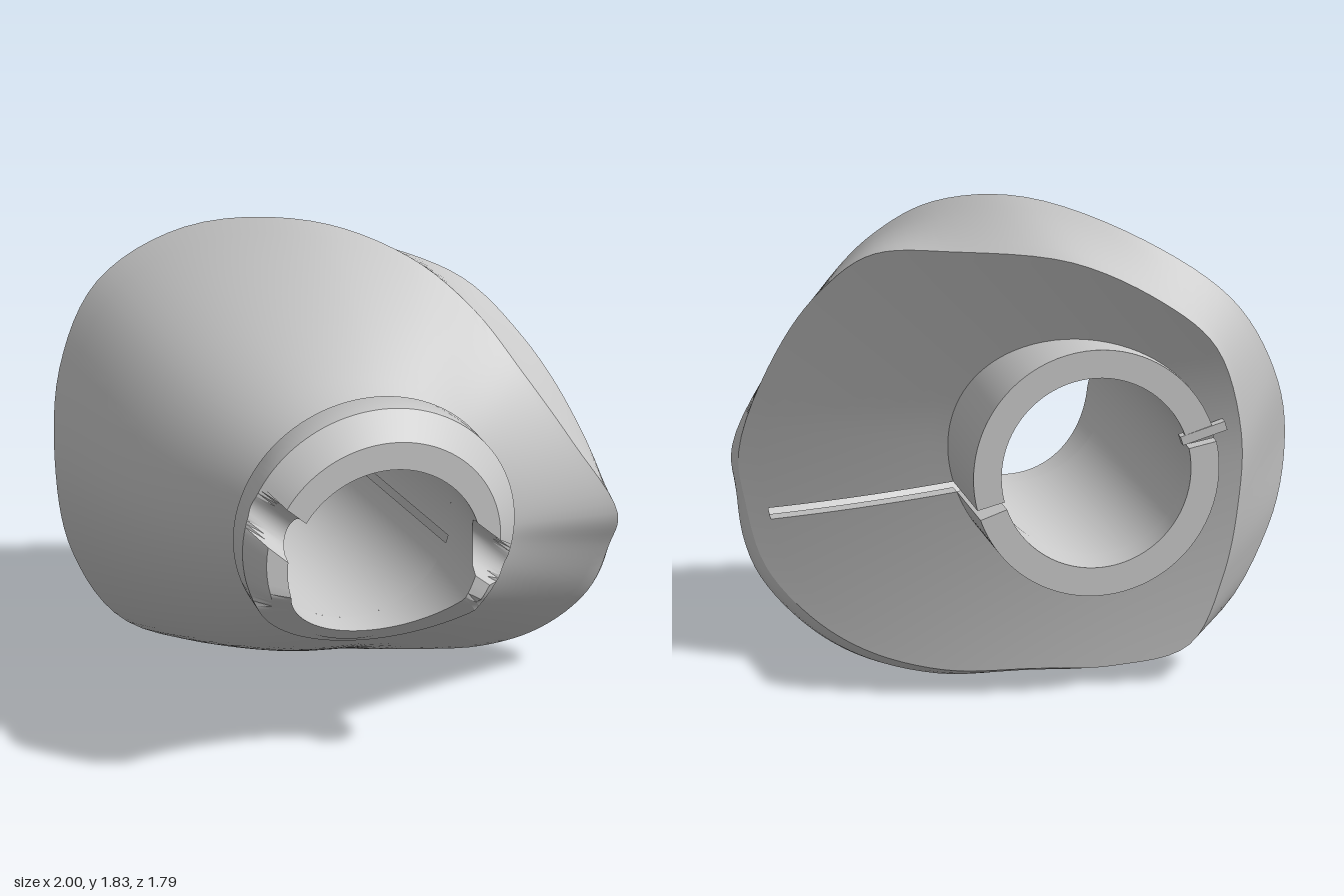
import * as THREE from 'three';
import { toCreasedNormals } from 'three/addons/utils/BufferGeometryUtils.js';

const V = (x, y, z) => new THREE.Vector3(x, y, z);
const { lerp, smoothstep, degToRad } = THREE.MathUtils;
const material = new THREE.MeshStandardMaterial({ color: 0xcccccc, side: THREE.DoubleSide });
const COLS = 114;
const SLIT = 106; // column left open for the long slit
const KEYWAY = 47; // column left open for the keyway

// Skin a list of cross-sections; skip(row, column) leaves openings
function skin(name, rows, closed = true, skip = () => false, crease = 0.6) {
  const pos = [], index = [], n = rows[0].length;
  rows.forEach(row => row.forEach(p => pos.push(p.x, p.y, p.z)));
  for (let r = 0; r < rows.length - 1; r++) {
    for (let c = 0; c < (closed ? n : n - 1); c++) {
      if (skip(r, c)) continue;
      const a = r * n + c, b = r * n + (c + 1) % n;
      index.push(a, b, a + n, b, b + n, a + n);
    }
  }
  const g = new THREE.BufferGeometry();
  g.setAttribute('position', new THREE.Float32BufferAttribute(pos, 3));
  g.setIndex(index);
  const mesh = new THREE.Mesh(toCreasedNormals(g, crease), material);
  mesh.name = name;
  return mesh;
}

// Gently twisted slanting back surface, leaning away towards the top
function backZ(x, y) {
  const h = y - 0.9;
  return -0.565 + 0.55 * x + 0.35 * x * x + h * (0.04 + 0.33 * x) - 0.18 * Math.max(0, h) ** 2;
}

// Closed smooth curve, sampled at the shared columns
function loop(points) {
  const curve = new THREE.CatmullRomCurve3(points.map(p => V(...p)), true);
  return Array.from({ length: COLS }, (_, i) => curve.getPoint(i / COLS));
}

// Widest rim of the body, counter-clockwise from the right corner
const rim = loop([
  [0.99, 0.75, 0.37], [0.79, 1.1, 0.44], [0.61, 1.39, 0.38], [0.47, 1.6, 0.2], [0.28, 1.76, 0],
  [-0.02, 1.83, -0.29], [-0.42, 1.72, -0.62], [-0.74, 1.5, -0.71], [-0.92, 1.2, -0.62],
  [-1, 0.85, -0.42], [-0.94, 0.53, -0.4], [-0.7, 0.18, -0.46], [-0.3, 0.06, -0.38],
  [0, 0.04, -0.3], [0.33, 0.01, -0.25], [0.6, 0.05, -0.1], [0.79, 0.16, 0.04],
  [0.935, 0.34, 0.16], [0.985, 0.58, 0.28]]);

// Edge of the back face
const backEdge = loop([
  [0.985, 0.75, 0], [0.85, 1.14, 0], [0.7, 1.41, 0], [0.53, 1.59, 0], [0.28, 1.65, 0],
  [-0.12, 1.67, 0], [-0.45, 1.53, 0], [-0.65, 1.35, 0], [-0.76, 1, 0], [-0.76, 0.7, 0],
  [-0.71, 0.4, 0], [-0.59, 0.14, 0], [-0.3, 0.07, 0], [0, 0.06, 0], [0.33, 0.04, 0],
  [0.6, 0.09, 0], [0.78, 0.19, 0], [0.92, 0.35, 0], [0.975, 0.58, 0]]);
backEdge.forEach(p => { p.z = backZ(p.x, p.y); });

const COLLAR = V(-0.1, 0.985, 0);
const TUBE = V(-0.185, 0.88, 0);
const BORE = V(-0.105, 0.915, 0);
const BORE_RADIUS = 0.385;
const around = (c, r, a, z, squash = 1) =>
  V(c.x + r * Math.cos(a), c.y + r * squash * Math.sin(a), z);
const angleFrom = (c, p) => Math.atan2(p.y - c.y, p.x - c.x);
const collarRing = (r, a, z) => around(COLLAR, r, a, z, 0.96);

// Tube angles per column, opened up a little at the slit
const tubeAngles = backEdge.map(p => angleFrom(TUBE, p));
tubeAngles[SLIT] -= 0.025;
tubeAngles[SLIT + 1] += 0.025;

function bodyParts() {
  // Funnel from the rim to the collar
  const rows = [];
  for (let i = 0; i <= 10; i++) {
    const s = i / 10;
    rows.push(rim.map(p => {
      const a = angleFrom(COLLAR, p);
      const q = p.clone().lerp(collarRing(0.515, a, 0.61), s);
      const swell = (0.03 - 0.03 * Math.cos(a)) * Math.sin(Math.PI * s);
      return q.add(V(Math.cos(a) * swell, Math.sin(a) * swell, 0));
    }));
  }
  // Band from the back face to the rim: flat above, rounded below
  const band = [];
  for (let i = 0; i < 5; i++) {
    band.push(rim.map((p, c) => {
      const q = backEdge[c].clone().lerp(p, i / 5);
      const a = angleFrom(COLLAR, p);
      const round = (1 - smoothstep(p.y, 0.45, 0.75)) * smoothstep(p.x, -0.6, 0);
      const bulge = 0.025 * round * Math.sin(Math.PI * i / 5);
      return q.add(V(Math.cos(a) * bulge, Math.sin(a) * bulge, 0));
    }));
  }
  // Back face between its edge and the tube, with the slit left open
  const back = [];
  for (let i = 0; i <= 10; i++) {
    back.push(backEdge.map((p, c) => {
      const q = p.clone().lerp(around(TUBE, 0.48, tubeAngles[c], 0), i / 10);
      q.z = backZ(q.x, q.y);
      return q;
    }));
  }
  const parts = [
    skin('body', [...band, ...rows]),
    skin('backFace', back, true, (r, c) => c === SLIT && r > 0),
  ];
  for (const c of [SLIT, SLIT + 1]) {
    const line = back.slice(1).map(row => row[c]);
    parts.push(skin('slitWall', [line, line.map(p => p.clone().add(V(0, 0, 0.08)))], false));
  }
  return parts;
}

function tubeParts() {
  // Split tube: outer wall, slightly tilted end face and inner wall
  const endZ = x => -0.89 - 0.05 * x;
  const section = tubeAngles.map(a => {
    const outer = around(TUBE, 0.48, a, 0);
    const inner = around(TUBE, 0.37, a, 0);
    const root = backZ(outer.x, outer.y);
    return [V(outer.x, outer.y, root), V(outer.x, outer.y, endZ(outer.x)),
      V(inner.x, inner.y, endZ(inner.x)), V(inner.x, inner.y, root)];
  });
  const rows = [0, 1, 2, 3].map(k => section.map(s => s[k]));
  const parts = [skin('backTube', rows, true, (r, c) => c === SLIT || c === KEYWAY)];
  for (const c of [SLIT, SLIT + 1, KEYWAY, KEYWAY + 1]) {
    const s = section[c];
    parts.push(skin('tubeSlitWall', [[s[0], s[1]], [s[3], s[2]]], false));
  }
  // Inner bore running forward into the collar
  parts.push(skin('bore', [rows[3], tubeAngles.map(a => around(BORE, BORE_RADIUS, a, 0.5))],
    true, (r, c) => c === SLIT));

  // Small key in the keyway
  const a = tubeAngles[KEYWAY];
  const key = new THREE.Mesh(new THREE.BoxGeometry(0.18, 0.035, 0.05), material);
  key.position.copy(around(TUBE, 0.44, a, -0.84));
  key.rotation.z = a;
  key.name = 'key';
  parts.push(key);
  return parts;
}

function collar() {
  // Front height of each span: channels are scooped, the lower arc is cut on a slant
  const channel = (p, t) => 0.85 - 0.09 * Math.sqrt(Math.max(0, 1 - (2 * t - 1) ** 2));
  const upper = p => 0.875 - 0.02 * p.x;
  const lower = p => 0.85 - 0.95 * Math.max(0, 0.74 - 0.15 * p.x - p.y);
  // Spans: outer angles, matching bore angles (parallel channel walls), steps, height
  const spans = [
    [-31.5, -12.6, -17.6, 16.8, 12, channel],
    [-12.6, 149.2, 16.8, 146.7, 60, upper],
    [149.2, 168.2, 146.7, 173.6, 12, channel],
    [168.2, 328.5, 173.6, 342.4, 60, lower],
  ];
  const rows = [[], [], [], [], [], []];
  for (const [o0, o1, b0, b1, steps, height] of spans) {
    for (let i = 0; i <= steps; i++) {
      const t = i / steps;
      const a = degToRad(lerp(o0, o1, t)), b = degToRad(lerp(b0, b1, t));
      const outer = collarRing(0.545, a, 0);
      const bore = around(BORE, BORE_RADIUS, b, 0);
      const lip = outer.clone().lerp(bore, 0.45);
      const top = height(outer, t);
      lip.z = height(lip, t);
      bore.z = height(bore, t);
      rows[0].push(collarRing(0.51, a, Math.min(0.59, top)));
      rows[1].push(collarRing(0.54, a, Math.min(0.64, top)));
      rows[2].push(collarRing(0.545, a, Math.min(0.77, top)));
      rows[3].push(lip);
      rows[4].push(bore);
      rows[5].push(around(BORE, BORE_RADIUS, b, 0.5));
    }
  }
  return skin('frontCollar', rows, true, undefined, 0.5);
}

export function createModel() {
  const model = new THREE.Group();
  model.name = 'angledFunnelFitting';
  model.add(...bodyParts(), ...tubeParts(), collar());
  return model;
}
